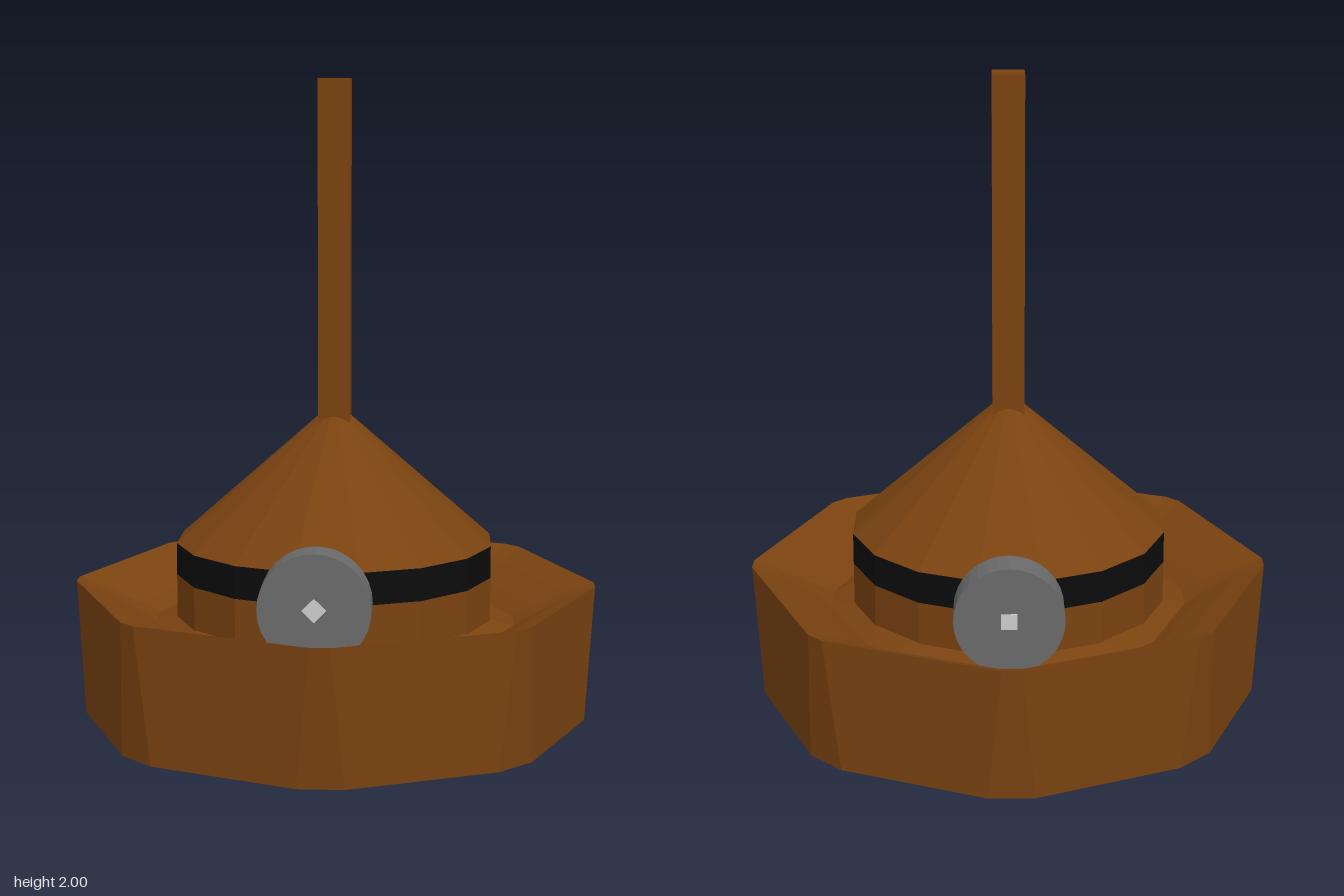
import * as THREE from 'three';

const mat = (name, color) => {
  const m = new THREE.MeshStandardMaterial({ color, flatShading: true });
  m.name = name;
  return m;
};

// Ring of an octagon with clipped corners: r = corner distance, w = half width of the clip
function ring([r, y, w]) {
  const points = [];
  for (let k = 0; k < 8; k++) {
    const a = (k * Math.PI) / 4, c = Math.cos(a), s = Math.sin(a);
    for (const t of [-w, w]) points.push([r * c - t * s, y, r * s + t * c]);
  }
  return points;
}

// Faceted skin through a list of rings
function loft(profile) {
  const rings = profile.map(ring), pos = [];
  for (let j = 0; j < rings.length - 1; j++) {
    const lo = rings[j], hi = rings[j + 1];
    for (let k = 0; k < 16; k++) {
      const n = (k + 1) % 16;
      if (j > 0) pos.push(...lo[k], ...hi[k], ...lo[n]);
      pos.push(...lo[n], ...hi[k], ...hi[n]);
    }
  }
  const g = new THREE.BufferGeometry();
  g.setAttribute('position', new THREE.Float32BufferAttribute(pos, 3));
  g.computeVertexNormals();
  return g;
}

export function createModel() {
  const model = new THREE.Group();
  model.name = 'mill';
  const wood = mat('brown wood', 0x7a4210);
  const black = mat('black band', 0x0c0c0c);
  const stone = mat('grey stone', 0x6a6a6a);
  const metal = mat('pale metal', 0xcccccc);

  const add = (parent, name, geometry, material, x = 0, y = 0, z = 0) => {
    const mesh = new THREE.Mesh(geometry, material);
    mesh.name = name;
    mesh.position.set(x, y, z);
    parent.add(mesh);
    return mesh;
  };

  // Basin: underside, outer wall, sloping rim and inner trough
  add(model, 'basin', loft([
    [0, 0, 0], [0.79, 0, 0.07], [0.82, 0.42, 0.03], [0.73, 0.385, 0.03],
    [0.63, 0.335, 0.04], [0.565, 0.3, 0.06], [0.47, 0.335, 0.09],
  ]), wood);

  // Sixteen-sided hub with flat sides facing the axes
  const R = 0.5, turn = Math.PI / 16;
  const drum = (name, rTop, y0, y1, material, open) => {
    const g = new THREE.CylinderGeometry(rTop, R, y1 - y0, 16, 1, open);
    add(model, name, g, material, 0, (y0 + y1) / 2).rotation.y = turn;
  };
  drum('hubBase', R, 0.28, 0.46, wood, true);
  drum('hubBand', R, 0.46, 0.56, black, true);
  drum('hubCone', 0, 0.56, 1.0, wood, true);

  add(model, 'post', new THREE.BoxGeometry(0.1, 1.06, 0.1), wood, 0, 1.47);

  // Grinding wheels on square axles
  const wheel = (name, x, z, axleSize, axleTurn, axleEnd) => {
    const g = new THREE.Group();
    g.name = name;
    g.position.set(x, 0.49, 0);
    add(g, 'stone', new THREE.CylinderGeometry(0.165, 0.165, 0.107, 32), stone, 0, 0, z)
      .rotation.x = Math.PI / 2;
    const inner = Math.sign(z) * 0.42;
    add(g, 'axle', new THREE.BoxGeometry(axleSize, axleSize, Math.abs(axleEnd - inner)), metal,
      0, 0, (inner + axleEnd) / 2).rotation.z = axleTurn;
    model.add(g);
  };
  wheel('frontWheel', -0.025, 0.62, 0.05, Math.PI / 4, 0.677);
  wheel('backWheel', 0.005, -0.577, 0.048, 0, -0.635);

  return model;
}
